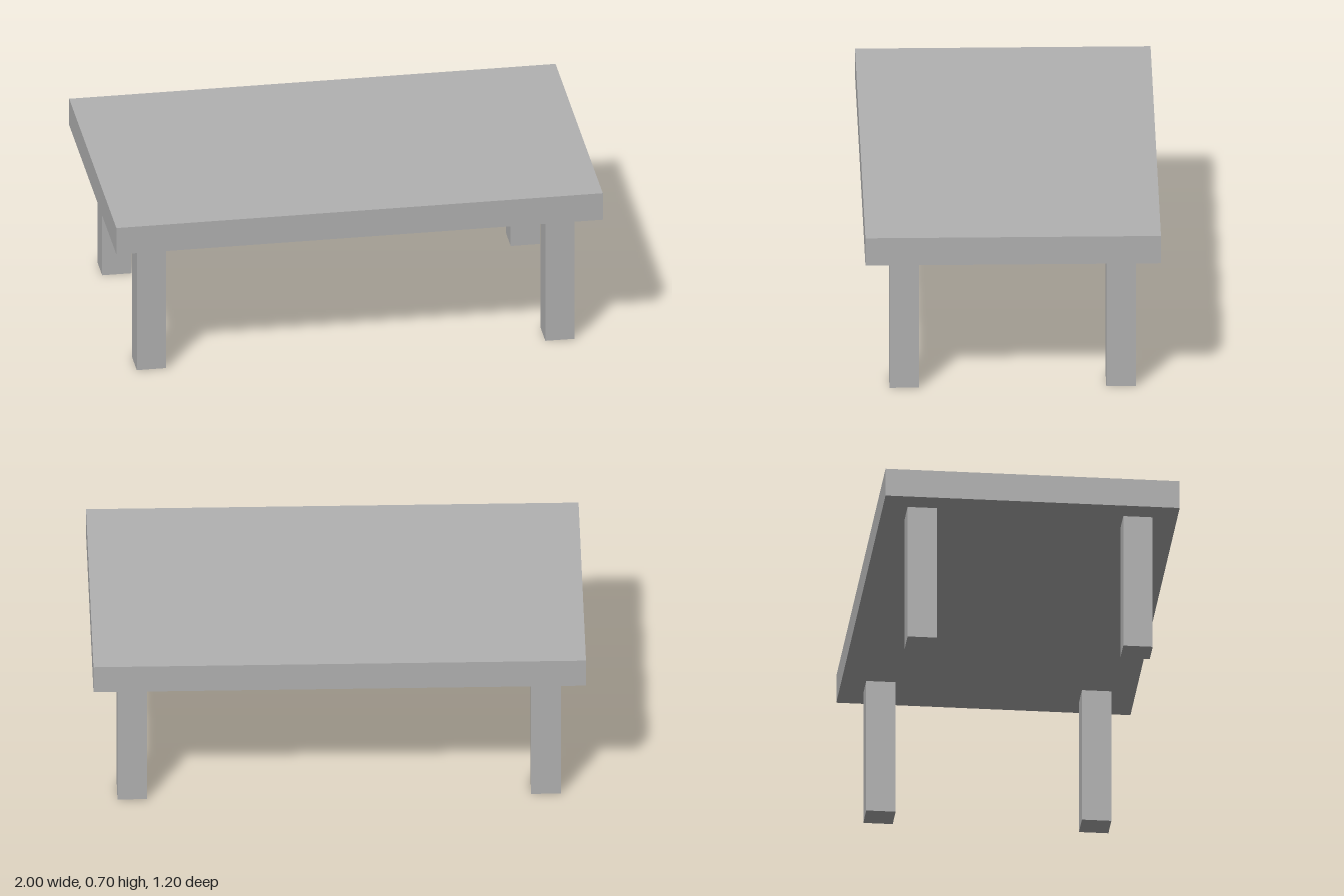
import * as THREE from 'three';

export function createModel() {
  const table = new THREE.Group();
  table.name = 'table';

  const grey = new THREE.MeshStandardMaterial({ color: 0xb2b2b2 });
  grey.name = 'grey';

  const addBox = (name, size, position) => {
    const mesh = new THREE.Mesh(new THREE.BoxGeometry(...size), grey);
    mesh.name = name;
    mesh.position.set(...position);
    table.add(mesh);
  };

  // Slab top
  const legHeight = 0.58, topThickness = 0.12;
  addBox('tableTop', [2, topThickness, 1.2], [0, legHeight + topThickness / 2, 0]);

  // Four square legs, set in from the corners
  for (const [side, x] of [['Left', 0.84], ['Right', -0.84]]) {
    for (const [end, z] of [['front', 0.44], ['back', -0.44]]) {
      addBox(`${end}${side}Leg`, [0.12, legHeight, 0.12], [x, legHeight / 2, z]);
    }
  }

  return table;
}
